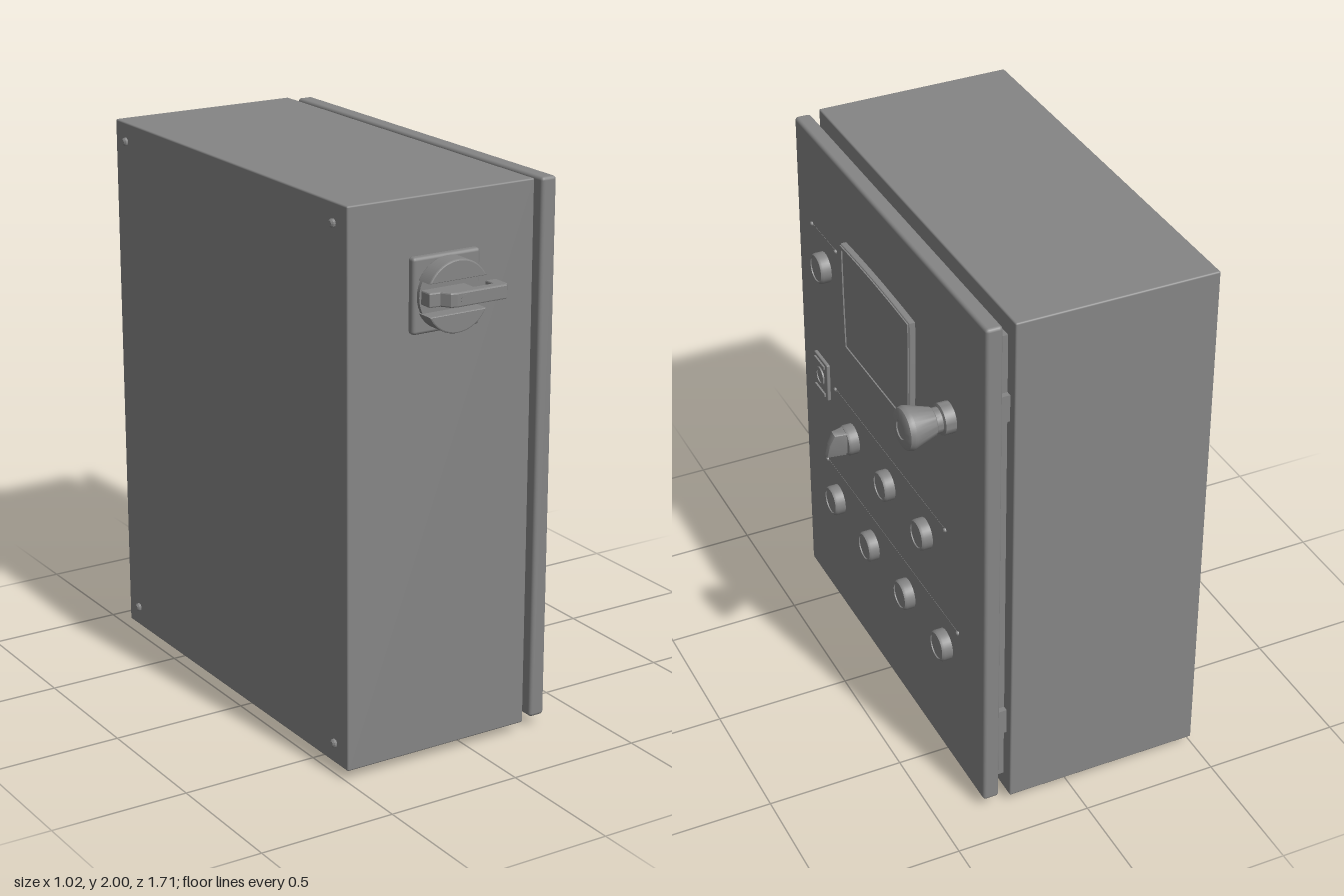
import * as THREE from 'three';
import { toCreasedNormals } from 'three/addons/utils/BufferGeometryUtils.js';
import { RoundedBoxGeometry } from 'three/addons/geometries/RoundedBoxGeometry.js';

const mat = new THREE.MeshStandardMaterial({ color: 0x858585 });

function add(parent, name, geo, x = 0, y = 0, z = 0) {
  const m = new THREE.Mesh(geo, mat);
  m.name = name;
  m.position.set(x, y, z);
  parent.add(m);
  return m;
}

// Box given by its limits on each axis
function block(parent, name, [x0, x1], [y0, y1], [z0, z1], r = 0) {
  const s = [x1 - x0, y1 - y0, z1 - z0];
  const geo = r ? new RoundedBoxGeometry(...s, 2, r) : new THREE.BoxGeometry(...s);
  return add(parent, name, geo, (x0 + x1) / 2, (y0 + y1) / 2, (z0 + z1) / 2);
}

// Turned part along +z from [radius, z] pairs
function turned(points, seg = 32) {
  const geo = new THREE.LatheGeometry(points.map(p => new THREE.Vector2(...p)), seg);
  return toCreasedNormals(geo.rotateX(Math.PI / 2), 0.6);
}

function outline(points) {
  return new THREE.Shape(points.map(p => new THREE.Vector2(...p)));
}

function extrude(shape, depth, bevel = 0) {
  return new THREE.ExtrudeGeometry(shape, {
    depth, curveSegments: 24, bevelEnabled: bevel > 0,
    bevelSize: bevel, bevelThickness: bevel, bevelOffset: -bevel, bevelSegments: 2,
  });
}

const screwHead = r => turned([[r, 0], [r, r * 0.7], [r * 0.6, r * 1.1], [0, r * 1.2]], 12);

// Wedge lever in the local y-z plane, thinning toward its tip
function leverGeometry() {
  const geo = extrude(outline([[0.02, -0.048], [0.108, -0.05], [0.1, 0], [0.082, 0.046], [0.02, 0.05]]), 0.04, 0.005);
  geo.translate(0, 0, -0.02);
  const p = geo.attributes.position;
  for (let i = 0; i < p.count; i++) p.setZ(i, p.getZ(i) * (1.15 - 7.5 * Math.max(0, p.getX(i) - 0.02)));
  return toCreasedNormals(geo.rotateY(-Math.PI / 2), 0.6);
}

// Controls on the door; local +z points out of the door, local x = -world z
function buildControls() {
  const g = new THREE.Group();
  g.name = 'doorControls';
  g.position.x = 0.332;
  g.rotation.y = Math.PI / 2;

  // Push buttons with a bezel and a slightly sunken cap
  const button = turned([[0.057, 0], [0.057, 0.03], [0.052, 0.039], [0.046, 0.039], [0.045, 0.035], [0, 0.035]]);
  const spots = [[0.465, 1.51], [-0.065, 0.9], [-0.38, 0.9], [0.405, 0.525], [0.09, 0.525], [-0.225, 0.525], [-0.54, 0.525]];
  spots.forEach(([z, y]) => add(g, 'pushButton', button, -z, y));

  // Selector switch
  const selector = new THREE.Group();
  selector.name = 'selectorSwitch';
  selector.position.set(-0.25, 0.9, 0);
  selector.rotation.z = -0.08;
  g.add(selector);
  add(selector, 'selectorBase', button);
  add(selector, 'selectorLever', leverGeometry());

  // Emergency stop mushroom
  add(g, 'emergencyStop', turned([[0.055, 0], [0.055, 0.038], [0.044, 0.042], [0.044, 0.062], [0.05, 0.066],
    [0.077, 0.15], [0.077, 0.156], [0.072, 0.17], [0.06, 0.176], [0.034, 0.178], [0.032, 0.174], [0, 0.174]], 40), 0.58, 1.51);

  // Display housing with an arched top and a raised rim around the glass
  const display = (inset) => {
    const s = new THREE.Shape();
    const t = 0.288 - inset, b = 0.274 - inset, y0 = 1.3 + inset, y1 = 1.722 - inset;
    s.moveTo(-b, y0);
    s.lineTo(b, y0);
    s.quadraticCurveTo(t - 0.002, 1.5, t, y1);
    s.quadraticCurveTo(0, y1 + 0.014, -t, y1);
    s.quadraticCurveTo(-t + 0.002, 1.5, -b, y0);
    return s;
  };
  add(g, 'displayHousing', extrude(display(0), 0.016, 0.004), 0.028, 0, 0.004);
  const rim = display(0.004);
  rim.holes.push(display(0.016));
  add(g, 'displayRim', extrude(rim, 0.007), 0.028, 0, 0.022);

  // Service socket with a round port
  const socket = new THREE.Group();
  socket.name = 'serviceSocket';
  socket.position.set(-0.515, 1.018, 0);
  g.add(socket);
  block(socket, 'socketPlate', [-0.06, 0.06], [-0.077, 0.077], [0, 0.014], 0.004);
  for (const s of [-1, 1]) block(socket, 'socketLip', [-0.045, 0.045], [s * 0.06 - 0.006, s * 0.06 + 0.006], [0.012, 0.021]);
  add(socket, 'socketPort', turned([[0.036, 0.012], [0.036, 0.02], [0.026, 0.02], [0.026, 0.016], [0, 0.016]], 24));

  // Divider strips with a small stud at each end
  [[0.575, 0.36, 1.63], [0.405, -0.54, 1.02], [0.505, -0.64, 0.645]].forEach(([a, b, y]) => {
    block(g, 'dividerStrip', [-a, -b], [y - 0.002, y + 0.002], [0, 0.001]);
    for (const z of [a, b]) add(g, 'dividerStud', screwHead(0.008), -z, y);
  });
  return g;
}

// Main switch on the front wall
function buildMainSwitch() {
  const g = new THREE.Group();
  g.name = 'mainSwitch';
  g.position.set(-0.132, 1.675, 0.715);
  block(g, 'switchPlate', [-0.132, 0.132], [-0.13, 0.13], [0, 0.034], 0.012);
  add(g, 'switchDisc', turned([[0.118, 0.03], [0.118, 0.048], [0, 0.048]], 40));
  // Two drum halves leave a slot for the handle
  const half = new THREE.Shape();
  const a = Math.asin(0.055 / 0.124);
  half.absarc(0, 0, 0.124, a, Math.PI - a);
  const geo = extrude(half, 0.058, 0.005);
  for (const k of [0, 1]) add(g, 'drumHalf', geo, 0, 0, 0.037).rotation.z = k * Math.PI;
  // Hooked handle, its tip turned back toward the wall
  const hook = outline([[-0.11, 0.045], [0.06, 0.045], [0.06, 0.1], [0.135, 0.1], [0.135, 0.058], [0.177, 0.058],
    [0.177, 0.122], [0.165, 0.137], [-0.03, 0.137], [-0.05, 0.13], [-0.07, 0.1], [-0.11, 0.095]]);
  add(g, 'switchHandle', extrude(hook, 0.04, 0.005).translate(0, 0, -0.02).rotateX(Math.PI / 2));
  add(g, 'handlePin', turned([[0.015, 0.13], [0.015, 0.139], [0, 0.139]], 20));
  return g;
}

export function createModel() {
  const model = new THREE.Group();
  model.name = 'controlCabinet';

  // Cabinet, gasket collar and door
  block(model, 'cabinetBody', [-0.495, 0.235], [0.035, 2], [-0.858, 0.717], 0.006);
  block(model, 'doorCollar', [0.23, 0.275], [0.1, 1.93], [-0.805, 0.65]);
  block(model, 'door', [0.272, 0.332], [0.04, 1.995], [-0.848, 0.71], 0.012);

  // Hinges between body and door
  for (const y of [0.355, 1.665])
    block(model, 'hingeLeaf', [0.23, 0.275], [y - 0.05, y + 0.05], [-0.825, -0.8]);

  // Wall mounting studs on the back corners
  for (const y of [0.11, 1.93]) for (const z of [-0.78, 0.635])
    add(model, 'mountingStud', screwHead(0.015), -0.493, y, z).rotation.y = -Math.PI / 2;

  // Cable entry plate below, with its screws
  block(model, 'entryPlate', [-0.43, 0.09], [0.02, 0.04], [-0.77, 0.63], 0.006);
  const screws = [[-0.17, 0.58], [-0.17, -0.72]];
  for (const z of [0.52, 0.1, -0.265, -0.66]) screws.push([-0.395, z], [0.055, z]);
  screws.forEach(([x, z]) => { add(model, 'entryScrew', screwHead(0.0168), x, 0.0202, z).rotation.x = Math.PI / 2; });
  for (const z of [0.69, -0.82])
    add(model, 'drainPlug', screwHead(0.011), -0.46, 0.04, z).rotation.x = Math.PI / 2;

  model.add(buildControls(), buildMainSwitch());
  return model;
}
